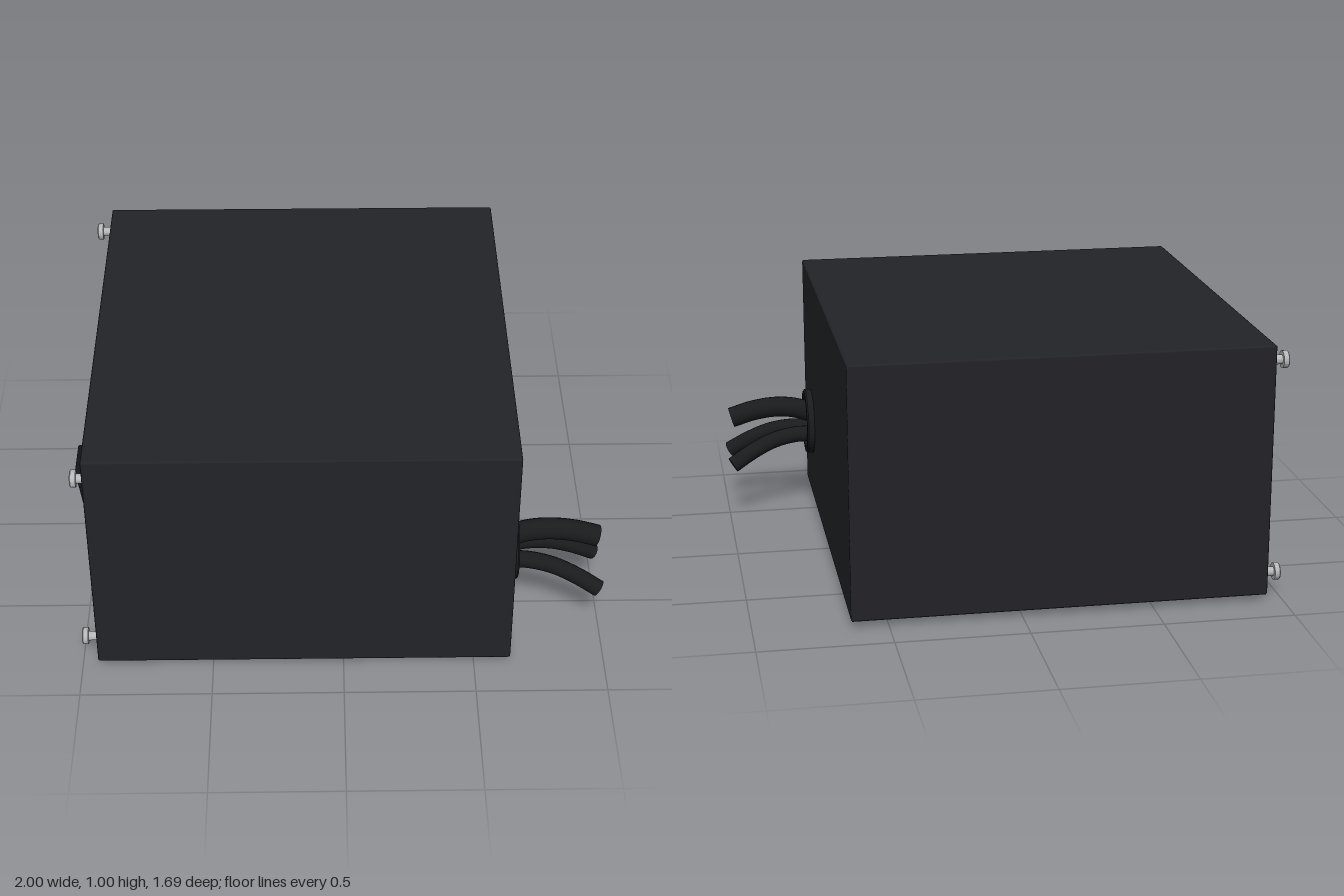
import * as THREE from 'three';
import { RoundedBoxGeometry } from 'three/addons/geometries/RoundedBoxGeometry.js';

const mat = (color, side = THREE.FrontSide) => new THREE.MeshStandardMaterial({ color, side });
const CASE = mat(0x222327);
const BLACK = mat(0x141518);
const RUBBER = mat(0x1a1b1d);
const BLADE = mat(0x2a2c30, THREE.DoubleSide);
const SHROUD = mat(0x141518, THREE.DoubleSide);
const STEEL = mat(0xb4b6b8);

// Case extents
const X0 = -0.94, X1 = 0.64, Y0 = 0.025, Y1 = 1, Z = 0.845, T = 0.02;
const XC = (X0 + X1) / 2, YC = (Y0 + Y1) / 2;

function add(parent, name, geometry, material, x = 0, y = 0, z = 0) {
  const mesh = new THREE.Mesh(geometry, material);
  mesh.name = name;
  mesh.position.set(x, y, z);
  parent.add(mesh);
  return mesh;
}

const polygon = (Type, pts) => new Type(pts.map(([x, y]) => new THREE.Vector2(x, y)));

function rect(Type, x0, y0, x1, y1) {
  return polygon(Type, [[x0, y0], [x1, y0], [x1, y1], [x0, y1]]);
}

function ngon(cx, cy, r, n, turn = 0) {
  return Array.from({ length: n }, (_, i) => {
    const a = turn + (i / n) * Math.PI * 2;
    return [cx + r * Math.cos(a), cy + r * Math.sin(a)];
  });
}

// Socket outline with chamfered lower corners, in (z, y)
function socketOutline(w, h) {
  const c = 0.05, z = 0.56, y = 0.32;
  return [[z - w + c, y - h], [z + w - c, y - h], [z + w, y - h + c],
    [z + w, y + h], [z - w, y + h], [z - w, y - h + c]];
}

// Extrude a (z, y) shape outward towards -x, ending at xOuter
function sideExtrude(shape, depth, xOuter) {
  return new THREE.ExtrudeGeometry(shape, { depth, bevelEnabled: false })
    .rotateY(-Math.PI / 2).translate(xOuter + depth, 0, 0);
}

function buildCase() {
  const g = new THREE.Group();
  g.name = 'case';
  const W = X1 - X0, H = Y1 - Y0, slab = (w, h, d) => new RoundedBoxGeometry(w, h, d, 2, 0.008);
  add(g, 'topPanel', slab(W, T, Z * 2), CASE, XC, Y1 - T / 2, 0);
  add(g, 'cablePanel', slab(T, H, Z * 2), CASE, X1 - T / 2, YC, 0);
  for (const s of [-1, 1]) add(g, s > 0 ? 'frontPanel' : 'backPanel', slab(W, H, T), CASE, XC, YC, s * (Z - T / 2));

  // Bottom panel with the round fan opening
  const bottom = rect(THREE.Shape, X0 + 0.004, -Z + 0.004, X1 - 0.004, Z - 0.004);
  bottom.holes.push(new THREE.Path().absarc(-0.15, 0, 0.66, 0, Math.PI * 2, true));
  add(g, 'bottomPanel', new THREE.ExtrudeGeometry(bottom, { depth: T, bevelEnabled: false, curveSegments: 64 })
    .rotateX(Math.PI / 2), CASE, 0, Y0 + T, 0);

  // Vent panel with honeycomb holes and the socket opening
  const vent = rect(THREE.Shape, -Z + 0.004, Y0 + 0.004, Z - 0.004, Y1 - 0.004);
  const pitch = 0.074;
  for (let row = 0; row < 12; row++) {
    for (let col = 0; col < 15; col++) {
      const z = -0.71 + (col + (row % 2) / 2) * pitch, y = 0.15 + row * pitch * 0.866;
      vent.holes.push(polygon(THREE.Path, ngon(z, y, 0.036, 6, Math.PI / 6)));
    }
  }
  vent.holes.push(polygon(THREE.Path, socketOutline(0.115, 0.09)));
  add(g, 'ventPanel', sideExtrude(vent, T, X0), CASE);
  return g;
}

function buildSocket() {
  const g = new THREE.Group();
  g.name = 'powerSocket';
  // Flange and hollow cup
  const ring = (w, h) => {
    const s = polygon(THREE.Shape, socketOutline(w, h));
    s.holes.push(polygon(THREE.Path, socketOutline(0.11, 0.085)));
    return s;
  };
  add(g, 'socketFlange', sideExtrude(ring(0.135, 0.11), 0.008, X0 - 0.006), BLACK);
  add(g, 'socketCup', sideExtrude(ring(0.125, 0.1), 0.12, X0), BLACK);
  add(g, 'socketBack', sideExtrude(polygon(THREE.Shape, socketOutline(0.125, 0.1)), 0.01, X0 + 0.12), BLACK);
  for (const [dz, y] of [[-0.055, 0.305], [0, 0.345], [0.055, 0.305]]) {
    add(g, 'socketPin', new THREE.BoxGeometry(0.11, 0.055, 0.018), STEEL, X0 + 0.07, y, 0.56 + dz);
  }
  return g;
}

function buildSwitch() {
  const g = new THREE.Group();
  g.name = 'powerSwitch';
  const frame = rect(THREE.Shape, 0.44, 0.51, 0.66, 0.81);
  frame.holes.push(rect(THREE.Path, 0.465, 0.53, 0.635, 0.79));
  add(g, 'switchFrame', sideExtrude(frame, 0.014, X0 - 0.012), BLACK);
  // Rocker pressed in at the bottom
  const rocker = add(g, 'switchRocker', new RoundedBoxGeometry(0.025, 0.26, 0.16, 2, 0.005), BLACK, -0.962, 0.66, 0.55);
  rocker.rotation.z = 0.13;
  return g;
}

function buildScrew(y, z) {
  const g = new THREE.Group();
  g.name = 'screw';
  // Shank, head and recessed drive
  const profile = [[0, 0], [0.018, 0], [0.018, 0.037], [0.033, 0.037], [0.033, 0.056],
    [0.029, 0.06], [0.015, 0.06], [0.013, 0.048], [0, 0.048]].map(p => new THREE.Vector2(...p));
  const geo = new THREE.LatheGeometry(profile, 20).toNonIndexed();
  geo.computeVertexNormals();
  const m = add(g, 'screwBody', geo, STEEL);
  m.rotation.z = Math.PI / 2;
  g.position.set(X0, y, z);
  return g;
}

function buildFan() {
  const g = new THREE.Group();
  g.name = 'fan';
  add(g, 'fanShroud', new THREE.CylinderGeometry(0.66, 0.66, 0.2, 64, 1, true), SHROUD, 0, 0.14, 0);
  add(g, 'fanHub', new THREE.CylinderGeometry(0.2, 0.2, 0.13, 40), BLACK, 0, 0.13, 0);
  // Swept, pitched blades
  const count = 7;
  for (let i = 0; i < count; i++) {
    const blade = new THREE.PlaneGeometry(1, 1, 8, 6);
    const p = blade.attributes.position;
    for (let k = 0; k < p.count; k++) {
      const u = p.getX(k) + 0.5, v = p.getY(k);
      const r = 0.18 + 0.44 * u, a = v * 0.62 + 0.35 * u * u + (i / count) * Math.PI * 2;
      p.setXYZ(k, r * Math.cos(a), 0.13 + v * 0.12 + 0.03 * v * v, r * Math.sin(a));
    }
    blade.computeVertexNormals();
    add(g, 'fanBlade', blade, BLADE);
  }
  // Wire guard: rings, diagonal spokes and centre disc
  for (const r of [0.665, 0.54, 0.415, 0.29, 0.165]) {
    add(g, 'guardRing', new THREE.TorusGeometry(r, 0.01, 8, 72).rotateX(Math.PI / 2), BLACK, 0, 0.01, 0);
  }
  for (const s of [-1, 1]) {
    const spoke = new THREE.CylinderGeometry(0.009, 0.009, 1.33, 8).rotateZ(Math.PI / 2).rotateY(s * Math.PI / 4);
    add(g, 'guardSpoke', spoke, BLACK, 0, 0.014, 0);
  }
  add(g, 'guardCentre', new THREE.CylinderGeometry(0.07, 0.07, 0.012, 32), BLACK, 0, 0.012, 0);
  g.position.x = -0.15;
  return g;
}

function buildCables() {
  const g = new THREE.Group();
  g.name = 'cables';
  // Grommet with a raised rim
  const profile = [[0, 0], [0.135, 0], [0.135, 0.024], [0.129, 0.03], [0.108, 0.03], [0.102, 0.018], [0, 0.018]]
    .map(p => new THREE.Vector2(...p));
  const geo = new THREE.LatheGeometry(profile, 48).toNonIndexed();
  geo.computeVertexNormals();
  add(g, 'grommet', geo, RUBBER, X1, 0.365, 0.57).rotation.z = -Math.PI / 2;

  const cable = (r, pts) => {
    const curve = new THREE.CatmullRomCurve3(pts.map(p => new THREE.Vector3(...p)));
    add(g, 'cable', new THREE.TubeGeometry(curve, 24, r, 16), RUBBER);
    const end = curve.getPoint(1);
    const cap = add(g, 'cableEnd', new THREE.CircleGeometry(r, 16), RUBBER, end.x, end.y, end.z);
    cap.lookAt(end.clone().add(curve.getTangent(1)));
  };
  cable(0.042, [[0.64, 0.405, 0.565], [0.72, 0.43, 0.565], [0.8, 0.436, 0.565], [0.89, 0.424, 0.565], [0.978, 0.398, 0.565]]);
  for (const s of [-1, 1]) {
    cable(0.033, [[0.64, 0.325, 0.565 + s * 0.045], [0.72, 0.328, 0.565 + s * 0.058],
      [0.81, 0.312, 0.565 + s * 0.074], [0.9, 0.273, 0.565 + s * 0.092], [0.983, 0.224, 0.565 + s * 0.11]]);
  }
  return g;
}

export function createModel() {
  const model = new THREE.Group();
  model.name = 'powerSupply';
  model.add(buildCase(), buildSocket(), buildSwitch(), buildFan(), buildCables());
  for (const [y, z] of [[0.93, -0.785], [0.095, -0.785], [0.82, 0.71], [0.095, 0.775]]) model.add(buildScrew(y, z));
  return model;
}
